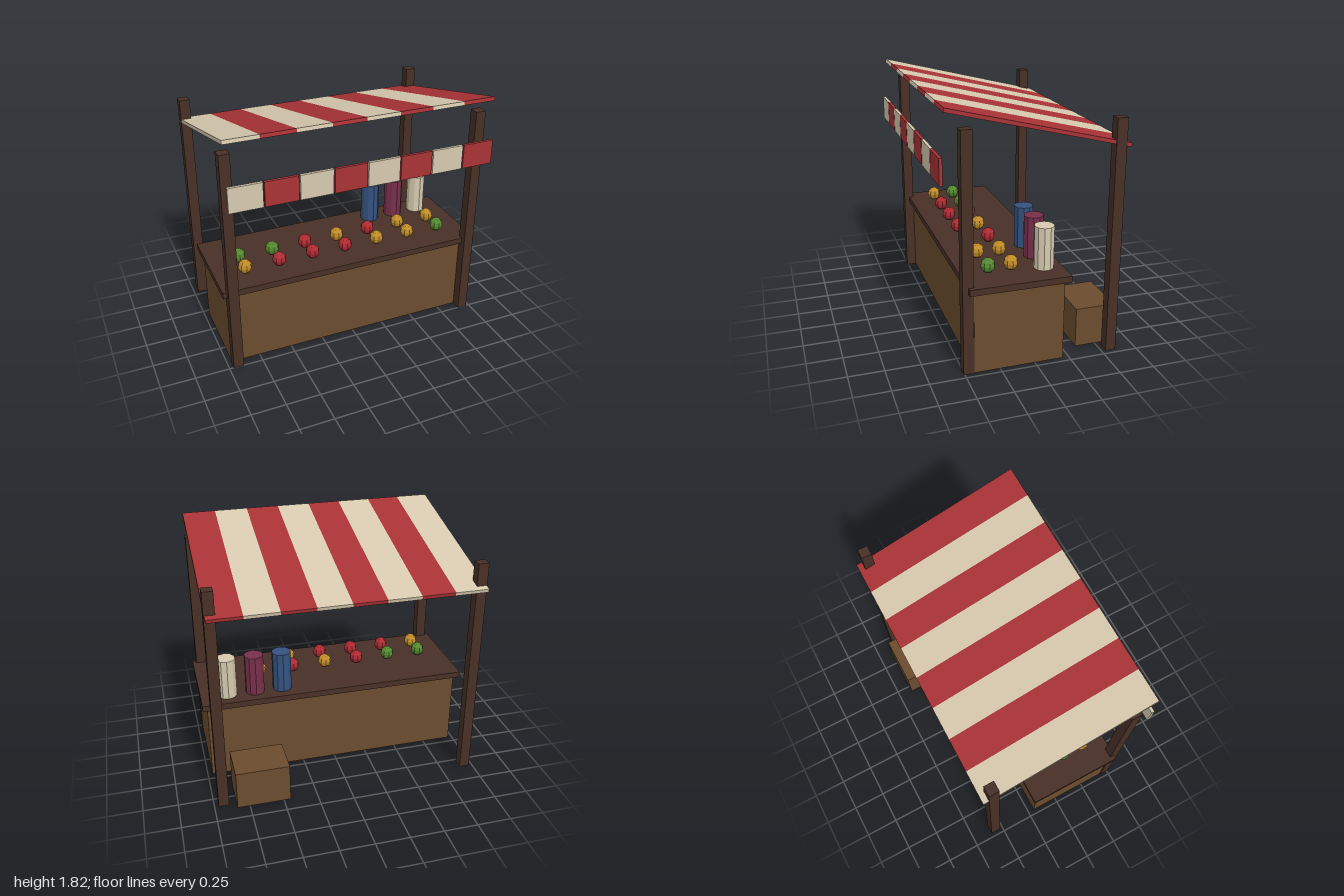
import * as THREE from 'three';

const mat = (name, color) => {
  const m = new THREE.MeshStandardMaterial({ color, flatShading: true });
  m.name = name;
  return m;
};

export function createModel() {
  const wood = mat('brown wood', 0x6b4c2e);
  const darkWood = mat('dark wood', 0x483026);
  const red = mat('red cloth', 0xa83336);
  const cream = mat('cream cloth', 0xd6c9ae);
  const fruitRed = mat('red fruit', 0xaf2a33);
  const fruitYellow = mat('yellow fruit', 0xc08c28);
  const fruitGreen = mat('green fruit', 0x558a30);
  const blue = mat('blue fabric', 0x35527f);
  const maroon = mat('maroon fabric', 0x78304a);

  const model = new THREE.Group();
  model.name = 'marketStall';
  const add = (name, geometry, material, x, y, z, parent = model) => {
    const mesh = new THREE.Mesh(geometry, material);
    mesh.name = name;
    mesh.position.set(x, y, z);
    parent.add(mesh);
    return mesh;
  };
  const box = (name, w, h, d, material, x, y, z, parent) =>
    add(name, new THREE.BoxGeometry(w, h, d), material, x, y, z, parent);

  // Counter, its overhanging top and the crate behind it
  box('counterBody', 1.93, 0.585, 0.635, wood, 0, 0.2975, 0.1155);
  box('counterTop', 2, 0.046, 0.71, darkWood, 0, 0.612, 0.115);
  box('crate', 0.39, 0.29, 0.29, wood, 0.645, 0.145, -0.495);

  // Corner posts
  for (const x of [-0.933, 0.933]) {
    box('frontPost', 0.075, 1.675, 0.075, darkWood, x, 0.8425, 0.473);
    box('backPost', 0.075, 1.675, 0.075, darkWood, x, 0.8425, -0.563);
  }

  // Sloping striped canopy, with a hanging valance panel below each stripe
  const canopy = new THREE.Group();
  canopy.name = 'canopy';
  canopy.position.set(0, 1.65, -0.015);
  canopy.rotation.x = -Math.atan2(0.313, 1.247);
  model.add(canopy);
  const stripe = 0.2415;
  for (let i = 0; i < 8; i++) {
    const x = (i - 3.5) * stripe - 0.002;
    const cloth = i % 2 ? red : cream;
    box('canopyStripe', stripe, 0.027, 1.286, cloth, x, 0, 0, canopy);
    box('valancePanel', 0.232, 0.177, 0.022, cloth, x, 1.424, 0.633);
  }

  // Two rows of fruit
  const fruit = new THREE.SphereGeometry(0.052, 8, 6);
  const Y = fruitYellow, R = fruitRed, G = fruitGreen;
  const rows = [
    { z: 0.28, kinds: [Y, R, R, R, Y, Y, G] },
    { z: 0.118, kinds: [G, G, R, Y, R, Y, Y] },
  ];
  for (const { z, kinds } of rows) {
    kinds.forEach((kind, i) => add('fruit', fruit, kind, (i - 3) * 0.259 - 0.003, 0.69, z));
  }

  // Upright rolls of fabric
  const roll = new THREE.CylinderGeometry(0.071, 0.071, 0.307, 10);
  [blue, maroon, cream].forEach((cloth, i) =>
    add('fabricRoll', roll, cloth, 0.387 + i * 0.206, 0.7865, -0.11));

  return model;
}
